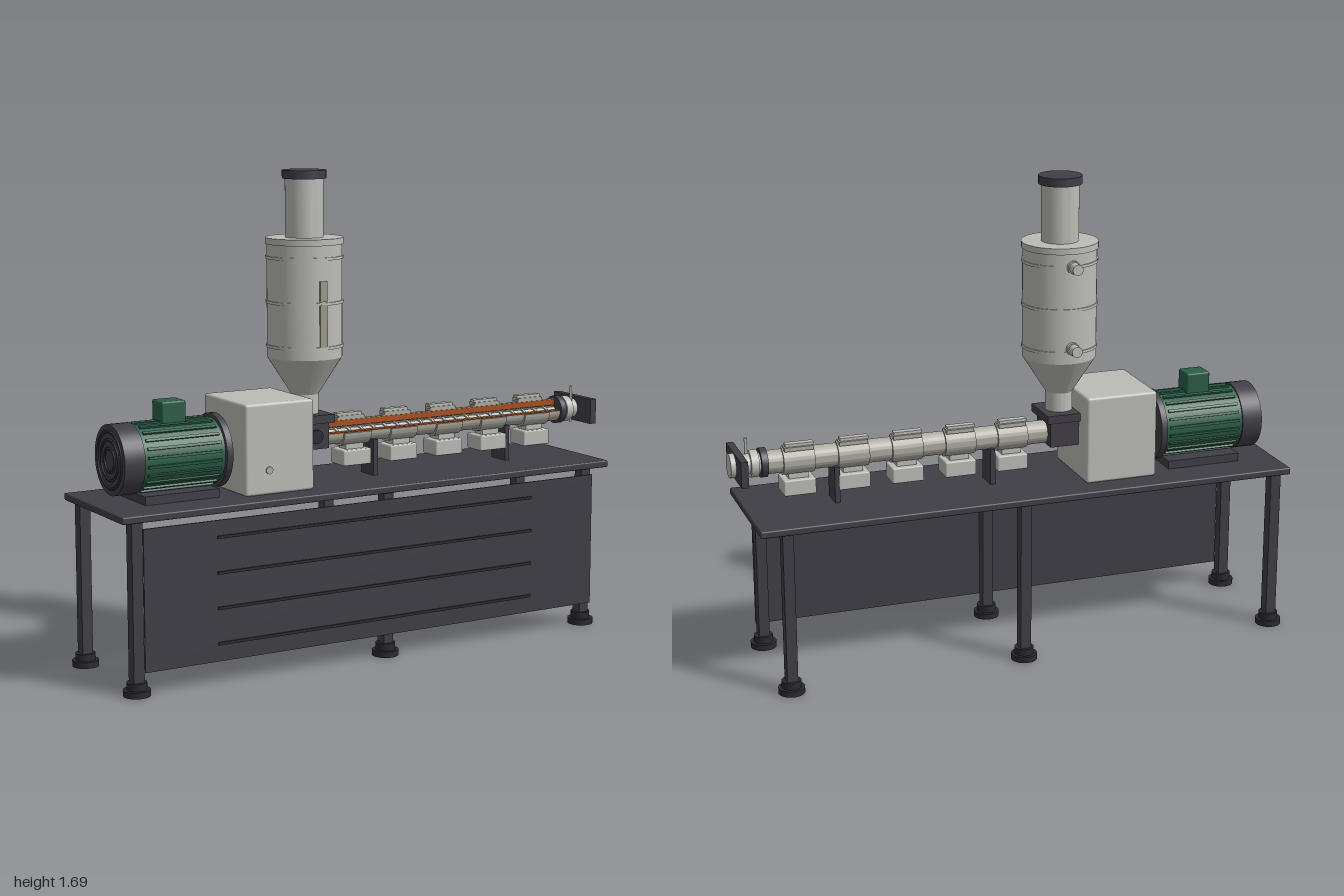
import * as THREE from 'three';
import { toCreasedNormals } from 'three/addons/utils/BufferGeometryUtils.js';
import { RoundedBoxGeometry } from 'three/addons/geometries/RoundedBoxGeometry.js';

const paint = (name, color) => {
  const m = new THREE.MeshStandardMaterial({ color });
  m.name = name;
  return m;
};

export function createModel() {
  const steel = paint('light grey steel', 0xbcbcb7);
  const barrelGrey = paint('warm grey barrel', 0xaeaba0);
  const frame = paint('dark frame', 0x403e46);
  const black = paint('black rubber', 0x2b2b2e);
  const green = paint('motor green', 0x2b5e48);
  const copper = paint('copper', 0xa8501f);
  const glass = paint('sight glass', 0x9d9a86);

  const model = new THREE.Group();
  model.name = 'extruderLine';
  const group = (name) => {
    const g = new THREE.Group();
    g.name = name;
    model.add(g);
    return g;
  };
  const add = (parent, name, geo, mat, x, y, z) => {
    const m = new THREE.Mesh(geo, mat);
    m.name = name;
    m.position.set(x, y, z);
    parent.add(m);
    return m;
  };
  // Box given by its limits on each axis
  const box = (p, name, mat, x0, x1, y0, y1, z0, z1) =>
    add(p, name, new THREE.BoxGeometry(x1 - x0, y1 - y0, z1 - z0), mat,
      (x0 + x1) / 2, (y0 + y1) / 2, (z0 + z1) / 2);
  // Cylinder along x, y or z from a to b; u and v are the other two coordinates in order
  const cyl = (p, name, mat, axis, r, a, b, u, v) => {
    const geo = new THREE.CylinderGeometry(r, r, b - a, 40);
    const c = (a + b) / 2;
    if (axis === 'x') return add(p, name, geo.rotateZ(-Math.PI / 2), mat, c, u, v);
    if (axis === 'z') return add(p, name, geo.rotateX(Math.PI / 2), mat, u, v, c);
    return add(p, name, geo, mat, u, c, v);
  };

  // Table with six legs on round feet
  const table = group('table');
  add(table, 'tableTop', new RoundedBoxGeometry(1.95, 0.025, 0.47, 2, 0.005), frame, -0.025, 0.593, 0);
  for (const x of [-0.946, 0.01, 0.856]) {
    for (const z of [-0.206, 0.206]) {
      box(table, 'leg', frame, x - 0.019, x + 0.019, 0.04, 0.582, z - 0.021, z + 0.021);
      cyl(table, 'footPad', black, 'y', 0.046, 0, 0.021, x, z);
      cyl(table, 'footCollar', black, 'y', 0.034, 0.021, 0.046, x, z);
    }
  }
  box(table, 'frontPanel', frame, -0.928, 0.877, 0.08, 0.56, 0.23, 0.236);
  for (const y of [0.503, 0.382, 0.262, 0.141])
    box(table, 'panelSlot', black, -0.66, 0.605, y - 0.005, y + 0.005, 0.236, 0.241);

  // Ribbed motor
  const motor = group('motor');
  const my = 0.75;
  box(motor, 'motorBase', frame, -0.855, -0.58, 0.604, 0.635, -0.1, 0.1);
  cyl(motor, 'motorBody', green, 'x', 0.114, -0.86, -0.563, my, 0);
  for (let i = 0; i < 24; i++) {
    const a = (i + 0.5) / 24 * Math.PI * 2;
    const rib = add(motor, 'coolingRib', new THREE.BoxGeometry(0.27, 0.009, 0.012), green,
      -0.712, my + Math.sin(a) * 0.116, Math.cos(a) * 0.116);
    rib.rotation.x = -a;
    rib.geometry.rotateX(Math.PI / 2);
    rib.geometry.scale(1, 0.8, 1);
  }
  cyl(motor, 'fanCover', frame, 'x', 0.12, -0.935, -0.86, my, 0);
  for (const r of [0.04, 0.068, 0.096])
    add(motor, 'fanGrilleRing', new THREE.TorusGeometry(r, 0.005, 8, 40).rotateY(Math.PI / 2), black, -0.935, my, 0);
  cyl(motor, 'motorFlange', frame, 'x', 0.127, -0.563, -0.54, my, 0);
  add(motor, 'terminalBox', new RoundedBoxGeometry(0.088, 0.08, 0.08, 2, 0.006), green, -0.716, 0.895, 0);
  cyl(motor, 'coupling', copper, 'x', 0.053, -0.54, -0.505, my, 0);

  // Gearbox
  const gearbox = group('gearbox');
  add(gearbox, 'gearboxHousing', new RoundedBoxGeometry(0.264, 0.314, 0.304, 3, 0.01), steel, -0.375, 0.763, 0);
  cyl(gearbox, 'oilPlug', barrelGrey, 'z', 0.013, 0.15, 0.157, -0.418, 0.69);

  // Hopper with cone, loading tube, bands, sight glass and rear pipes
  const hopper = group('hopper');
  const hx = -0.193;
  const profile = [[0.048, 0.84], [0.048, 0.915], [0.13, 1.045], [0.13, 1.435], [0.135, 1.435],
    [0.135, 1.457], [0.066, 1.457], [0.066, 1.662]].map(([r, y]) => new THREE.Vector2(r, y));
  add(hopper, 'hopperShell', toCreasedNormals(new THREE.LatheGeometry(profile, 48), 0.4), steel, hx, 0, 0);
  cyl(hopper, 'hopperLid', frame, 'y', 0.076, 1.657, 1.686, hx, 0);
  for (const y of [1.085, 1.237, 1.39])
    cyl(hopper, 'hopperBand', steel, 'y', 0.134, y - 0.005, y + 0.005, hx, 0);
  for (const [a, b] of [[1.09, 1.235], [1.245, 1.315]])
    box(hopper, 'sightGlass', glass, hx - 0.014, hx + 0.014, a, b, 0.127, 0.135);
  for (const y of [1.1, 1.39]) {
    cyl(hopper, 'airPipe', steel, 'z', 0.019, -0.178, -0.12, hx, y);
    cyl(hopper, 'pipeCollar', steel, 'z', 0.023, -0.142, -0.125, hx, y);
  }

  // Feed throat
  const feed = group('feedThroat');
  box(feed, 'feedBlock', frame, -0.243, -0.137, 0.727, 0.818, -0.07, 0.07);
  box(feed, 'feedPlate', frame, -0.243, -0.122, 0.818, 0.847, -0.084, 0.084);
  cyl(feed, 'feedPort', black, 'z', 0.024, 0.07, 0.082, -0.19, 0.772);

  // Barrel with its upper front quarter cut away to show the screw
  const barrel = group('barrel');
  const by = 0.768;
  const cutRing = (name, mat, R, r, x0, x1) => {
    const s = new THREE.Shape();
    s.absarc(0, 0, R, Math.PI, Math.PI * 2.5, false);
    s.absarc(0, 0, r, Math.PI * 2.5, Math.PI, true);
    const geo = new THREE.ExtrudeGeometry(s, { depth: x1 - x0, bevelEnabled: false, curveSegments: 30 });
    add(barrel, name, toCreasedNormals(geo.rotateY(Math.PI / 2), 0.5), mat, x0, by, 0);
  };
  cutRing('barrelWall', barrelGrey, 0.042, 0.017, -0.137, 0.875);
  box(barrel, 'upperCutFace', copper, -0.137, 0.873, by + 0.018, by + 0.039, 0, 0.003);
  box(barrel, 'lowerCutFace', copper, -0.137, 0.873, by, by + 0.003, 0.018, 0.041);

  // Screw core and helical flight
  cyl(barrel, 'screwCore', steel, 'x', 0.01, -0.137, 0.875, by, 0);
  const turns = 20, steps = turns * 16, pos = [], idx = [];
  for (let i = 0; i <= steps; i++) {
    const a = i / 16 * Math.PI * 2, x = -0.13 + i / steps;
    for (const [dx, r] of [[-0.005, 0.009], [-0.005, 0.0165], [0.005, 0.0165], [0.005, 0.009]])
      pos.push(x + dx, Math.cos(a) * r, Math.sin(a) * r);
    if (i < steps) for (let j = 0; j < 3; j++) {
      const k = i * 4 + j;
      idx.push(k, k + 1, k + 4, k + 1, k + 5, k + 4);
    }
  }
  let flight = new THREE.BufferGeometry();
  flight.setAttribute('position', new THREE.Float32BufferAttribute(pos, 3));
  flight.setIndex(idx);
  flight = toCreasedNormals(flight, 0.6);
  const flightMat = paint('screw steel', 0xb4b2aa);
  flightMat.side = THREE.DoubleSide;
  add(barrel, 'screwFlight', flight, flightMat, 0, by, 0);

  // Heater zones, each with a top terminal box and a cooling fan below
  for (let i = 0; i < 5; i++) {
    const x = -0.006 + i * 0.1925;
    cutRing('heaterBand', barrelGrey, 0.05, 0.04, x - 0.055, x + 0.055);
    box(barrel, 'heaterBox', barrelGrey, x - 0.05, x + 0.05, 0.808, 0.822, -0.04, 0);
    box(barrel, 'heaterTerminal', steel, x - 0.055, x + 0.045, 0.822, 0.832, -0.03, -0.004);
    box(barrel, 'fanDuct', steel, x - 0.035, x + 0.035, 0.7, 0.73, -0.025, 0.025);
    add(barrel, 'coolingFan', new RoundedBoxGeometry(0.113, 0.056, 0.09, 2, 0.005), steel, x, 0.678, 0);
  }
  for (const x of [0.069, 0.633])
    box(barrel, 'barrelSupport', frame, x - 0.009, x + 0.009, 0.604, 0.735, -0.043, 0.043);

  // Die head
  const die = group('dieHead');
  cyl(die, 'barrelFlange', frame, 'x', 0.051, 0.872, 0.895, by, 0);
  cyl(die, 'dieAdapter', steel, 'x', 0.035, 0.895, 0.96, by, 0);
  cyl(die, 'clampRing', steel, 'x', 0.047, 0.902, 0.93, by, 0);
  cyl(die, 'clampPin', steel, 'y', 0.005, 0.72, 0.855, 0.935, 0.02);
  box(die, 'diePlate', frame, 0.957, 0.982, 0.722, 0.814, -0.114, 0.114);
  cyl(die, 'dieOutlet', steel, 'x', 0.042, 0.982, 1, by, 0);

  return model;
}
